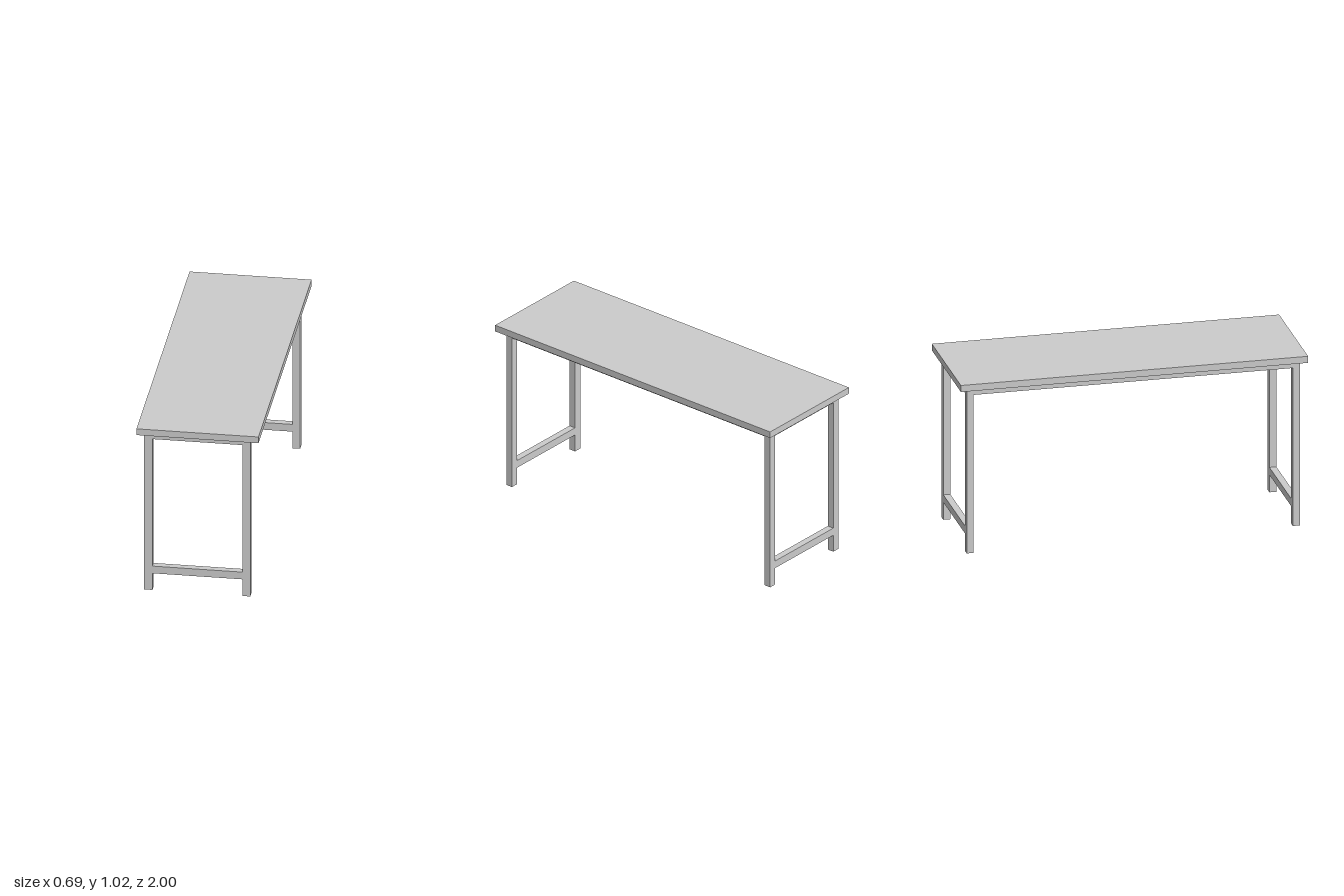
import * as THREE from 'three';

const solid = new THREE.MeshStandardMaterial({ color: 0xcccccc, flatShading: true });
const hollow = new THREE.MeshStandardMaterial({ color: 0xcccccc, flatShading: true, side: THREE.DoubleSide });

// Box between two extents on each axis
function bar(name, [x0, x1], [y0, y1], [z0, z1], material = solid) {
  const geometry = new THREE.BoxGeometry(x1 - x0, y1 - y0, z1 - z0);
  geometry.translate((x0 + x1) / 2, (y0 + y1) / 2, (z0 + z1) / 2);
  const mesh = new THREE.Mesh(geometry, material);
  mesh.name = name;
  return mesh;
}

// Square tube leg, open at the foot
function tubeLeg(name, x, y, z) {
  const mesh = bar(name, x, y, z, hollow);
  const index = Array.from(mesh.geometry.index.array);
  index.splice(18, 6); // drop the bottom face
  mesh.geometry.setIndex(index);
  mesh.geometry.clearGroups();
  return mesh;
}

export function createModel() {
  const table = new THREE.Group();
  table.name = 'table';

  const sides = { right: [-0.308, -0.261], left: [0.249, 0.293] };
  const ends = { front: [0.921, 0.961], back: [-0.957, -0.917] };
  const span = [sides.right[1], sides.left[0]];
  const frameY = [0.943, 0.981];

  table.add(bar('tabletop', [-0.346, 0.345], [0.981, 1.02], [-1, 1]));

  // End frames: two legs, an upper rail and a low stretcher
  for (const [end, z] of Object.entries(ends)) {
    const frame = new THREE.Group();
    frame.name = `${end}Frame`;
    for (const [side, x] of Object.entries(sides)) {
      frame.add(tubeLeg(`${side}Leg`, x, [0, 0.981], z));
    }
    frame.add(bar('upperRail', span, frameY, z));
    frame.add(bar('stretcher', span, [0.104, 0.149], z));
    table.add(frame);
  }

  // Long rails under the top
  for (const [side, x] of Object.entries(sides)) {
    table.add(bar(`${side}LongRail`, x, frameY, [ends.back[1], ends.front[0]]));
  }
  return table;
}
